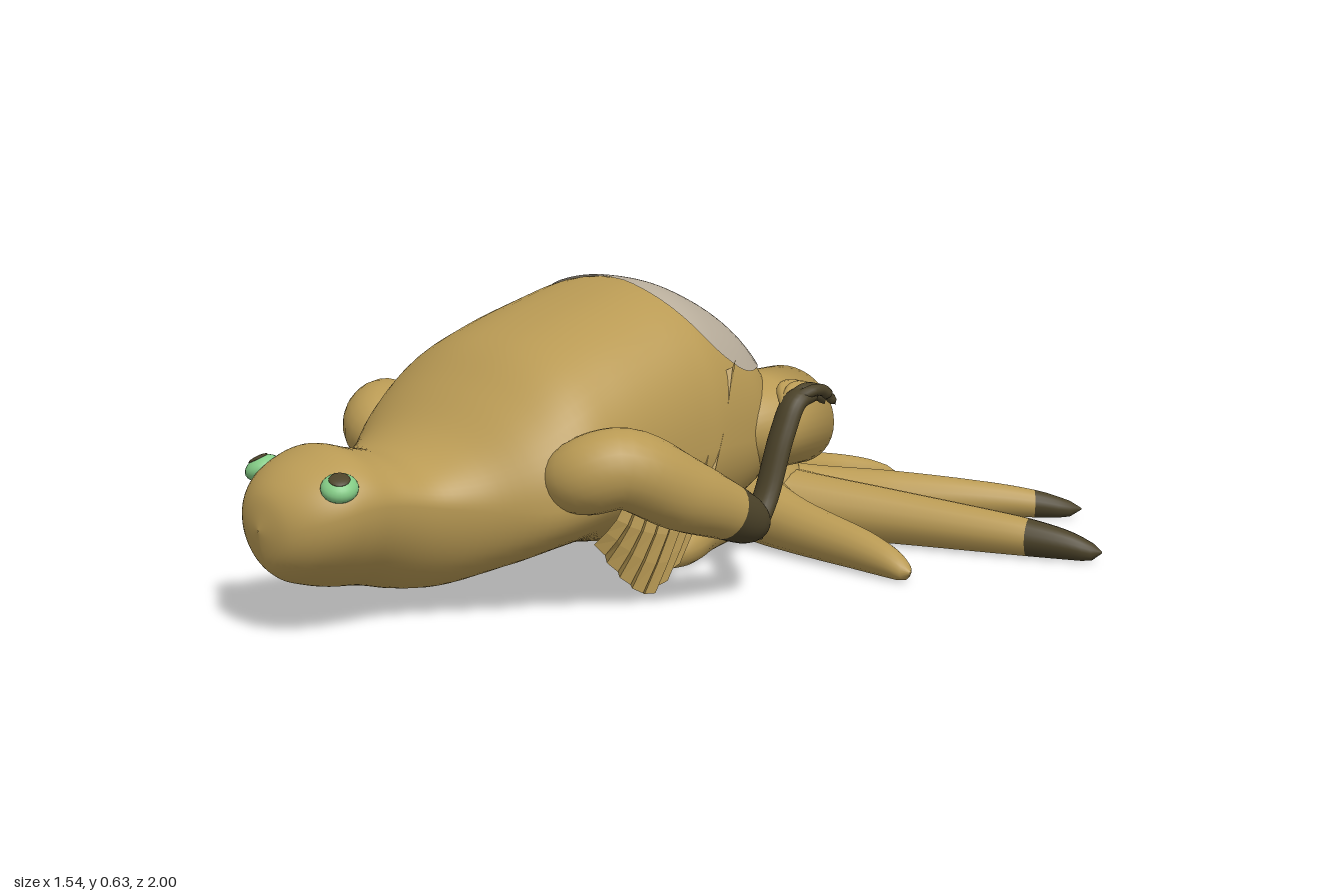
import * as THREE from 'three';

const mat = (name, color) => {
  const m = new THREE.MeshStandardMaterial({ color, side: THREE.DoubleSide });
  m.name = name;
  return m;
};

// Skin over closed rings of points; faces after ring `split` use the second material
function loft(rings, split = rings.length - 1) {
  const n = rings[0].length, index = [];
  for (let i = 0; i < rings.length - 1; i++)
    for (let j = 0; j < n; j++) {
      const k = (j + 1) % n, a = i * n + j, b = i * n + k, c = a + n, d = b + n;
      index.push(a, c, b, b, c, d);
    }
  const g = new THREE.BufferGeometry().setFromPoints(rings.flat());
  g.setIndex(index);
  g.addGroup(0, split * n * 6, 0);
  g.addGroup(split * n * 6, Infinity, 1);
  g.computeVertexNormals();
  return g;
}

// Tapered round tube along points; radius(t) gives its thickness
function tube(points, radius, { up = [0, 1, 1], wide = 1, steps = 28, sides = 16, split, floor = false } = {}) {
  const curve = new THREE.CatmullRomCurve3(points.map(p => new THREE.Vector3(p[0], p[1], p[2])));
  const ref = new THREE.Vector3(...up), rings = [];
  for (let i = 0; i <= steps; i++) {
    const t = i / steps, r = radius(t), c = curve.getPoint(t), T = curve.getTangent(t);
    const S = T.clone().cross(ref).normalize(), U = S.clone().cross(T);
    if (floor) c.y = Math.max(r, 0.022) * 0.97;
    rings.push(Array.from({ length: sides }, (_, j) => {
      const a = j / sides * Math.PI * 2;
      const p = c.clone().addScaledVector(S, Math.cos(a) * r * wide).addScaledVector(U, Math.sin(a) * r);
      if (floor) p.y = Math.max(0, p.y);
      return p;
    }));
  }
  return loft(rings, split);
}

// Smooth interpolation through rows of numbers
function rowAt(rows, t) {
  const f = Math.min(Math.max(t, 0), 1) * (rows.length - 1), i = Math.min(Math.floor(f), rows.length - 2), u = f - i;
  const at = k => rows[Math.min(Math.max(k, 0), rows.length - 1)];
  return rows[0].map((_, k) => {
    const p0 = at(i - 1)[k], p1 = at(i)[k], p2 = at(i + 1)[k], p3 = at(i + 2)[k];
    return p1 + 0.5 * u * (p2 - p0 + u * (2 * p0 - 5 * p1 + 4 * p2 - p3 + u * (3 * (p1 - p2) + p3 - p0)));
  });
}

// Body sections from nose to rump: z, half width, top, middle, bottom
const BODY = [
  [1, .001, .222, .22, .218], [.985, .07, .285, .225, .15], [.95, .12, .325, .24, .115], [.9, .152, .352, .255, .095],
  [.84, .163, .368, .265, .08], [.77, .165, .35, .26, .07], [.69, .185, .338, .245, .05], [.61, .235, .37, .235, .045],
  [.52, .31, .445, .23, .07], [.43, .34, .515, .24, .09], [.33, .335, .558, .26, .09], [.2, .33, .597, .28, .07],
  [.1, .325, .622, .29, .05], [.03, .32, .62, .295, .045], [-.06, .3, .583, .29, .06], [-.14, .272, .533, .28, .09],
  [-.21, .225, .47, .27, .11], [-.26, .16, .4, .26, .13], [-.29, .08, .32, .25, .17], [-.3, .001, .252, .25, .248],
];

// The back is a little boxier than the head
const power = z => 2 + 0.4 * (1 - THREE.MathUtils.smoothstep(z, 0.25, 0.7));

function sectionAtZ(z) {
  let lo = 0, hi = 1;
  for (let i = 0; i < 24; i++) {
    const m = (lo + hi) / 2;
    if (rowAt(BODY, m)[0] > z) lo = m; else hi = m;
  }
  return rowAt(BODY, lo);
}

// Point on the upper body surface above (x, z), lifted outward
function onBack(x, z, lift) {
  const [, w, top, mid] = sectionAtZ(z);
  const q = Math.min(Math.abs(x) / w, 0.985), n = power(z);
  const p = new THREE.Vector3(Math.sign(x) * q * w, mid + (top - mid) * (1 - q ** n) ** (1 / n), z);
  const out = new THREE.Vector3(p.x, p.y - mid, Math.min(0, z * 0.8)).normalize();
  return p.addScaledVector(out, lift);
}

export function createModel() {
  const root = new THREE.Group();
  const tan = mat('tan skin', 0xb99a54), dark = mat('dark brown', 0x4b4229);
  const pale = mat('pale grey patch', 0xb8ad9b), green = mat('eye green', 0x84cc86);
  const add = (name, geometry, material, parent = root) => {
    const m = new THREE.Mesh(geometry, material);
    m.name = name;
    parent.add(m);
    return m;
  };

  // Body and head in one smooth skin; the muzzle narrows below the brow
  const bodyRings = Array.from({ length: 101 }, (_, i) => {
    const [z, w, top, mid, bot] = rowAt(BODY, i / 100);
    const jaw = 1 + 0.3 * THREE.MathUtils.smoothstep(z, 0.6, 0.8);
    return Array.from({ length: 64 }, (_, j) => {
      const a = j / 64 * Math.PI * 2, c = Math.cos(a), s = Math.sin(a);
      const e = 2 / power(z);
      const y = mid + (s > 0 ? (top - mid) * s ** e : (mid - bot) * s);
      return new THREE.Vector3(w * Math.sign(c) * Math.abs(c) ** (s > 0 ? e : jaw), y, z);
    });
  });
  add('body', loft(bodyRings), [tan, dark]);

  // Pale patch on the back
  const patchRings = Array.from({ length: 21 }, (_, i) => {
    const k = Math.max(i / 20, 0.001);
    return Array.from({ length: 64 }, (_, j) => {
      const a = j / 64 * Math.PI * 2, c = Math.cos(a), s = Math.sin(a);
      const e = s < 0 ? 0.7 : 1;
      const x = 0.277 * Math.sign(c) * Math.abs(c) ** e;
      const notch = s < 0 ? 0.02 * Math.exp(-((x / 0.1) ** 2)) : 0;
      const dz = s < 0 ? 0.115 * Math.abs(s) ** e - notch : -0.23 * s;
      return onBack(x * k, -0.02 + dz * k, 0.004);
    });
  });
  add('backPatch', loft(patchRings), [pale, pale]);

  // Starfish base: plan path of each arm, and the ring where a dark tip starts (36 = none)
  const star = new THREE.Group();
  star.name = 'starBase';
  root.add(star);
  const starArms = [
    [[[.1, -.45], [.19, -.65], [.31, -.83], [.49, -1]], 32],
    [[[.12, -.39], [.35, -.5], [.6, -.61], [.77, -.688]], 28],
    [[[.12, -.29], [.25, -.27], [.45, -.26], [.592, -.25]], 36],
    [[[-.12, -.29], [-.3, -.275], [-.55, -.26], [-.77, -.25]], 28],
    [[[-.1, -.4], [-.3, -.5], [-.5, -.61], [-.6, -.69]], 36],
    [[[-.05, -.45], [-.13, -.6], [-.16, -.8], [-.08, -.995]], 36],
    [[[-.1, -.26], [-.25, -.15], [-.38, -.03], [-.49, .04]], 32],
    [[[.04, -.25], [.1, -.1], [.15, 0], [.14, .07]], 36],
  ];
  for (const [path, split] of starArms) {
    const points = [[0, -.34], ...path].map(([x, z]) => [x, 0.05, z]);
    const radius = t => (0.094 - 0.066 * t) * Math.sqrt(Math.max(0.004, 1 - t ** 18));
    add('starArm', tube(points, radius, { up: [0, 1, 0], steps: 36, split, floor: true }), [tan, dark], star);
  }
  const hubProfile = [[.15, .03], [.155, .1], [.135, .155], [.1, .182], [0, .19]];
  const hub = add('starHub', new THREE.LatheGeometry(hubProfile.map(([r, y]) => new THREE.Vector2(r, y)), 32), tan, star);
  hub.scale.z = 0.8;
  hub.position.z = -0.36;

  for (const s of [1, -1]) {
    const side = s > 0 ? 'left' : 'right';

    // Rump lobe: swells out of the body to a broad end with smooth shading
    const profile = [[0, 0], [.5, .03], [.8, .08], [.95, .14], [1, .19], [1, .305], [0, .305]];
    const lobe = add(side + 'RumpLobe', new THREE.LatheGeometry(profile.map(([r, h]) => new THREE.Vector2(r, h)), 40), tan);
    lobe.rotation.x = -Math.PI / 2;
    lobe.scale.set(0.14, 1, 0.11);
    lobe.position.set(s * 0.18, 0.3, 0);

    // Eye with a dark pupil
    const eye = new THREE.Group();
    eye.name = side + 'Eye';
    eye.position.set(s * 0.127, 0.31, 0.897);
    eye.quaternion.setFromUnitVectors(new THREE.Vector3(0, 1, 0), new THREE.Vector3(s * 0.35, 0.9, 0.25).normalize());
    root.add(eye);
    add('eyeball', new THREE.SphereGeometry(0.037, 24, 14), green, eye).scale.y = 0.65;
    const pupil = add('pupil', new THREE.SphereGeometry(0.021, 20, 10), dark, eye);
    pupil.scale.y = 0.25;
    pupil.position.y = 0.0205;

    // Upper arm growing out of the shoulder, ending in a dark elbow: x, y, z, radius
    const armRows = [[.25, .27, .46, .05], [.325, .295, .45, .078], [.38, .312, .39, .082], [.417, .25, .27, .077],
      [.43, .2, .16, .062], [.43, .165, .085, .05], [.425, .15, .045, .03], [.425, .148, .035, .003]];
    const arm = tube(armRows.map(([x, y, z]) => [s * x, y, z]), t => Math.max(0.003, rowAt(armRows, t)[3]),
      { steps: 42, sides: 24, split: 25 });
    add(side + 'UpperArm', arm, [tan, dark]);

    // Thin raised forearm
    const forearm = [[.425, .13, .07], [.42, .2, .02], [.42, .33, -.03], [.42, .395, -.07], [.42, .4, s > 0 ? -.13 : -.09]];
    add(side + 'Forearm', tube(forearm.map(([x, y, z]) => [s * x, y, z]),
      t => 0.022 * Math.sqrt(Math.max(0.01, 1 - t ** 10)), { wide: 1.4 }), [dark, dark]);

    // Curled fingers
    [.365, .39, .415, .438].forEach((x, i) => {
      const path = [[.41, .385, -.05], [x, .412, -.09], [x, .41, -.135], [x, .375, -.165 - 0.01 * (i % 2)]];
      const m = s > 0 && i > 1 ? dark : tan;
      add(side + 'Finger', tube(path.map(([px, y, z]) => [s * px, y, z]),
        t => 0.013 * Math.sqrt(Math.max(0.01, 1 - t ** 8)), { steps: 14, sides: 10 }), [m, m]);
    });

    // Pleated side frill hanging behind the arm
    const frill = new THREE.PlaneGeometry(1, 1, 14, 6), pos = frill.attributes.position;
    for (let i = 0; i < pos.count; i++) {
      const u = pos.getX(i) + 0.5, v = 0.5 - pos.getY(i);
      const fold = (Math.round(u * 14) % 2 ? 1 : -1) * 0.007;
      const topZ = 0.3 - 0.33 * u, lowZ = 0.38 - 0.25 * u;
      const topY = 0.3 + 0.17 * u, lowY = 0.005 + 0.1 * Math.abs(2 * u - 1.2) ** 1.5;
      const x = 0.29 + 0.045 * Math.sin(v * Math.PI) * (1 - 0.4 * u) + fold;
      pos.setXYZ(i, s * x, topY + (lowY - topY) * v, topZ + (lowZ - topZ) * v);
    }
    const pleats = frill.toNonIndexed();
    pleats.computeVertexNormals();
    add(side + 'Frill', pleats, tan);
  }
  return root;
}
